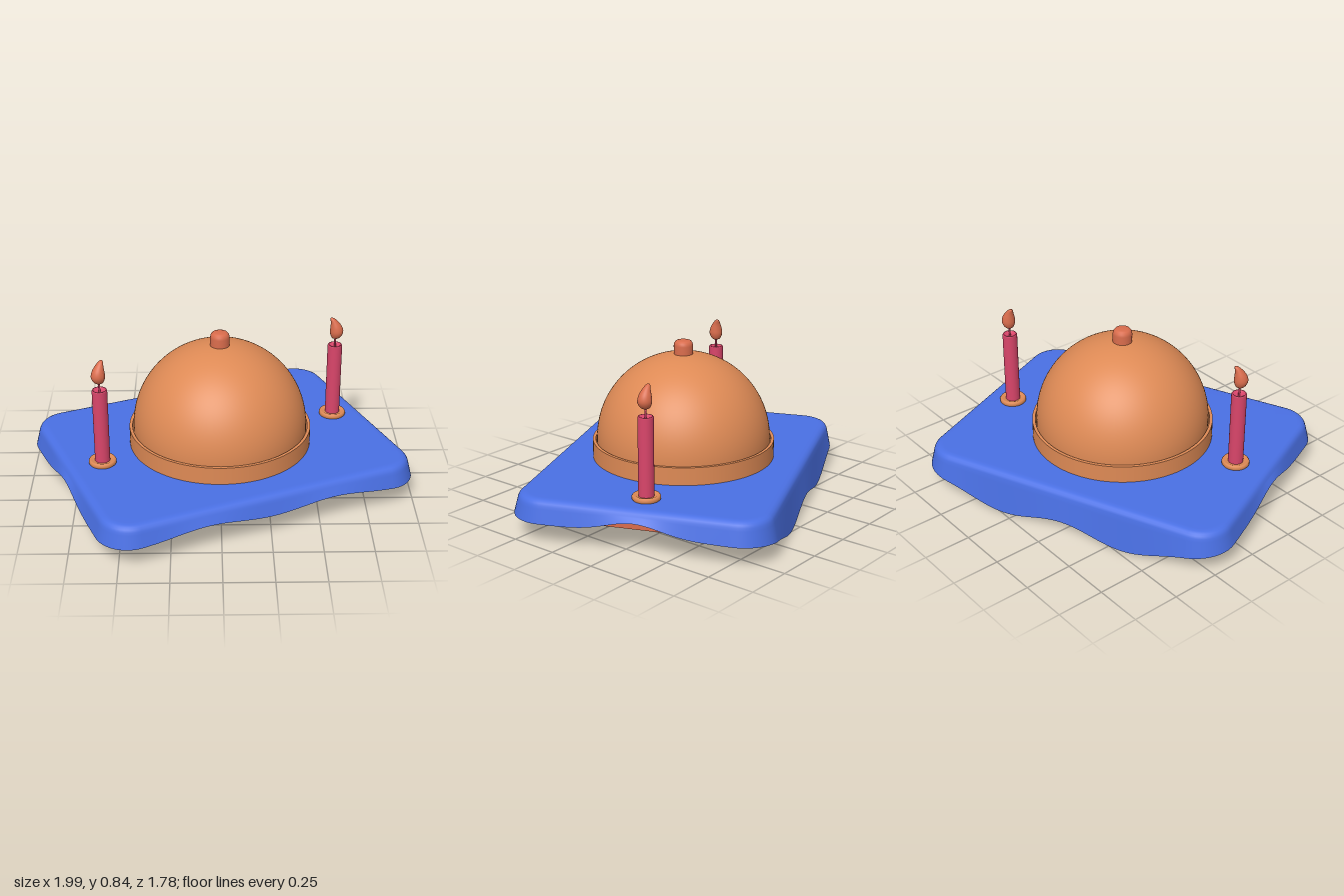
import * as THREE from 'three';

const mat = (color, side = THREE.FrontSide) => new THREE.MeshStandardMaterial({ color, side });
const COPPER = mat(0xde8a55), TERRACOTTA = mat(0xd96c4c), WAX = mat(0xd9456a);
const CLOTH = mat(0x4a70e4, THREE.DoubleSide);

function add(parent, name, geometry, material) {
  const mesh = new THREE.Mesh(geometry, material);
  mesh.name = name;
  parent.add(mesh);
  return mesh;
}

// Lathe with sharp edges: every straight run of the profile is its own surface
function turned(parent, name, runs, material, segments = 64) {
  const group = new THREE.Group();
  group.name = name;
  for (const run of runs) {
    const pts = run.map(([r, y]) => new THREE.Vector2(r, y));
    add(group, name + 'Surface', new THREE.LatheGeometry(pts, segments), material);
  }
  parent.add(group);
  return group;
}

// Rounded rectangle, as a closed loop of evenly spread points
function outline(halfX, halfZ, radius) {
  const pts = [];
  const corners = [[1, 1], [-1, 1], [-1, -1], [1, -1]];
  const arcSteps = 12, sideSteps = 36;
  corners.forEach(([sx, sz], k) => {
    const cx = sx * (halfX - radius), cz = sz * (halfZ - radius);
    for (let i = 0; i <= arcSteps; i++) {
      const a = (k + i / arcSteps) * Math.PI / 2;
      pts.push(new THREE.Vector2(cx + radius * Math.cos(a), cz + radius * Math.sin(a)));
    }
    const [nx, nz] = corners[(k + 1) % 4];
    const a = (k + 1) * Math.PI / 2;
    const from = pts[pts.length - 1];
    const to = new THREE.Vector2(nx * (halfX - radius) + radius * Math.cos(a),
      nz * (halfZ - radius) + radius * Math.sin(a));
    for (let i = 1; i < sideSteps; i++) pts.push(from.clone().lerp(to, i / sideSteps));
  });
  return pts;
}

// Wavy hem: each wave is centre x, centre z, height change, width
const WAVES = [
  [-0.34, -0.66, -0.108, 0.285], [0.34, -0.66, -0.108, 0.285],
  [-0.34, 0.66, 0.042, 0.25], [0.34, 0.66, 0.042, 0.25],
  [-0.86, 0, 0.058, 0.19], [0.86, 0, 0.058, 0.19],
];
const hemHeight = (x, z) => WAVES.reduce((y, [cx, cz, h, w]) =>
  y + h * Math.exp(-((x - cx) ** 2 + (z - cz) ** 2) / (w * w)), 0.11);

// Cloth: loops from the flat top, over a soft edge, down to the hem
function clothGeometry() {
  const rows = [[0.2, 0.225], [0.07, 0.225], [0.05, 0.223], [0.037, 0.217], [0.028, 0.208], [0.022, 0.196]];
  const drop = 6, pos = [0, 0.225, 0], index = [];
  const hem = outline(0.863, 0.663, 0.18);
  const n = hem.length;
  const loops = rows.map(([inset]) => outline(0.863 - inset, 0.663 - inset, Math.max(0.18 - inset, 0.02)));
  rows.forEach(([, y], j) => loops[j].forEach(p => pos.push(p.x, y, p.y)));
  const rim = loops[loops.length - 1];
  for (let j = 1; j <= drop; j++) {
    const t = j / drop;
    for (let i = 0; i < n; i++) {
      const p = rim[i].clone().lerp(hem[i], t);
      pos.push(p.x, THREE.MathUtils.lerp(0.196, hemHeight(hem[i].x, hem[i].y), t), p.y);
    }
  }
  const total = rows.length + drop;
  for (let i = 0; i < n; i++) {
    const k = (i + 1) % n;
    index.push(0, 1 + k, 1 + i);
    for (let j = 0; j < total - 1; j++) {
      const a = 1 + j * n, b = a + n;
      index.push(a + i, a + k, b + i, a + k, b + k, b + i);
    }
  }
  const g = new THREE.BufferGeometry();
  g.setAttribute('position', new THREE.Float32BufferAttribute(pos, 3));
  g.setIndex(index);
  g.computeVertexNormals();
  return g;
}

// Flame: teardrop whose belly leans back and whose tip curls forward along +x
function flameGeometry() {
  const profile = new THREE.SplineCurve([[0, 0], [0.022, 0.008], [0.035, 0.035], [0.032, 0.065],
    [0.021, 0.095], [0.011, 0.115], [0, 0.122]].map(p => new THREE.Vector2(...p))).getPoints(28);
  profile.forEach(p => { p.x = Math.max(p.x, 0); });
  const g = new THREE.LatheGeometry(profile, 24);
  const p = g.attributes.position;
  for (let i = 0; i < p.count; i++) {
    const t = p.getY(i) / 0.122;
    p.setX(i, p.getX(i) - 0.03 * t * (1 - t) + 0.024 * t * t * t);
  }
  g.computeVertexNormals();
  return g;
}

function candle(name, x, z, turn) {
  const g = new THREE.Group();
  g.name = name;
  // Holder dish with a rounded rim
  turned(g, 'candleHolder', [[[0.066, 0], [0.071, 0.006], [0.071, 0.018], [0.066, 0.025], [0.058, 0.026], [0.045, 0.02], [0.03, 0.02]]], COPPER, 40);
  // Wax stick with a hollowed top
  turned(g, 'candleStick', [
    [[0.039, 0.015], [0.039, 0.415], [0.036, 0.421], [0.031, 0.421], [0.026, 0.41], [0, 0.408]],
  ], WAX, 32);
  add(g, 'wick', new THREE.CylinderGeometry(0.005, 0.005, 0.06, 10), WAX).position.y = 0.435;
  const flame = add(g, 'flame', flameGeometry(), TERRACOTTA);
  flame.position.y = 0.455;
  flame.rotation.y = turn;
  g.position.set(x, 0.224, z);
  return g;
}

export function createModel() {
  const model = new THREE.Group();
  model.name = 'domedDishOnTable';

  // Turned table: solid board under a draped cloth
  const table = new THREE.Group();
  table.name = 'table';
  table.rotation.y = 0.395;
  const board = new THREE.ExtrudeGeometry(new THREE.Shape(outline(0.825, 0.625, 0.14)), { depth: 0.085, bevelEnabled: false });
  board.rotateX(Math.PI / 2).translate(0, 0.21, 0);
  add(table, 'tableBoard', board, TERRACOTTA);
  add(table, 'tablecloth', clothGeometry(), CLOTH);
  model.add(table);

  // Dish ring: outer wall, flat rim and inner wall
  turned(model, 'dishRing', [
    [[0.476, 0.222], [0.476, 0.318]],
    [[0.476, 0.318], [0.46, 0.318]],
    [[0.46, 0.318], [0.46, 0.225]],
  ], COPPER, 96);

  // Domed lid
  const dome = add(model, 'domeLid', new THREE.SphereGeometry(0.454, 96, 32, 0, Math.PI * 2, 0, Math.PI / 2), COPPER);
  dome.position.y = 0.32;
  add(model, 'domeSkirt', new THREE.CylinderGeometry(0.454, 0.454, 0.095, 96, 1, true), COPPER).position.y = 0.2725;

  // Lid knob
  turned(model, 'lidKnob', [
    [[0.05, 0.755], [0.05, 0.815], [0.047, 0.829], [0.039, 0.839], [0.026, 0.843], [0, 0.844]],
  ], TERRACOTTA, 40);

  model.add(candle('rightCandle', -0.605, 0.25, 0.9));
  model.add(candle('leftCandle', 0.62, -0.27, Math.PI));
  return model;
}
